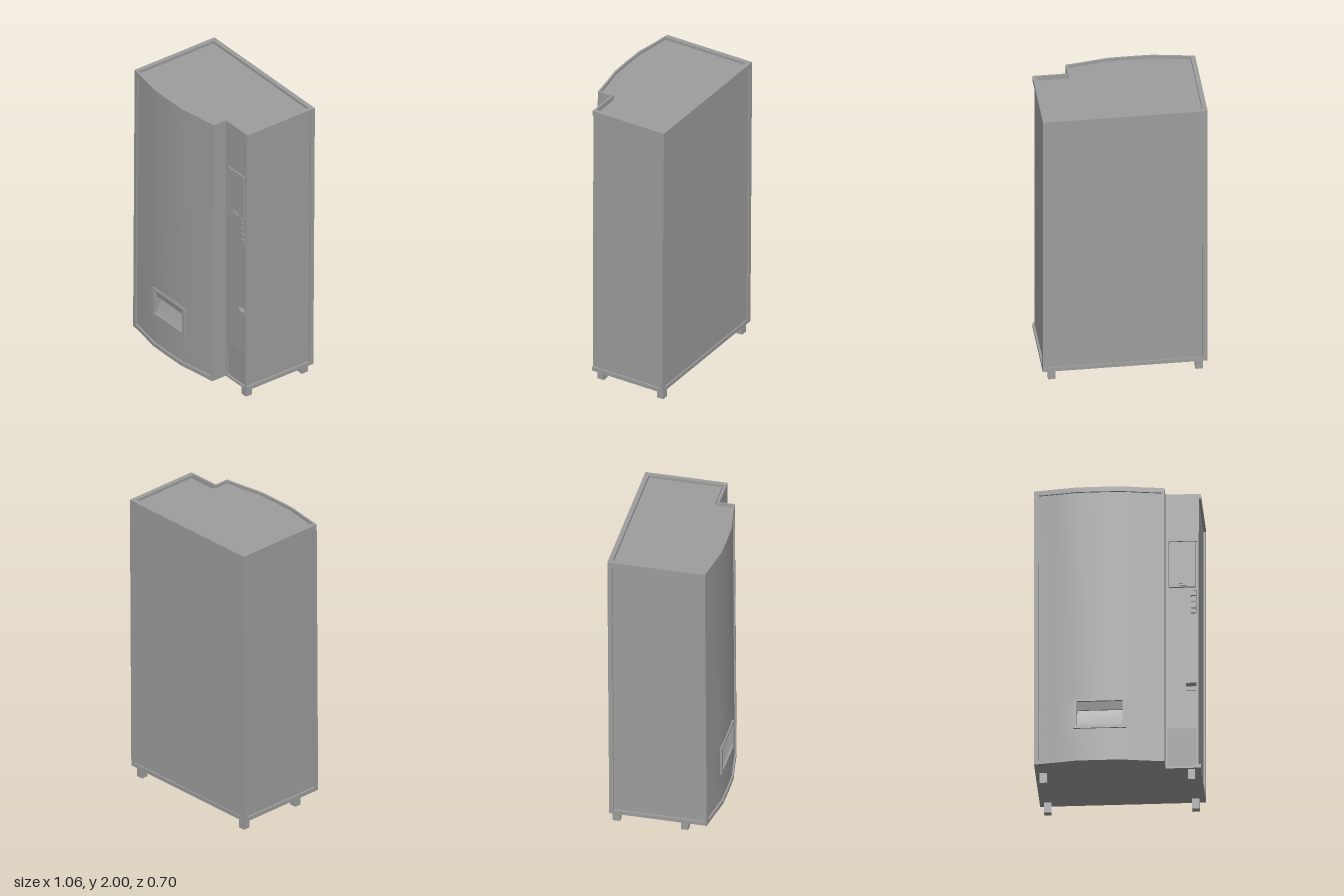
import * as THREE from 'three';
import { toCreasedNormals } from 'three/addons/utils/BufferGeometryUtils.js';

const material = new THREE.MeshStandardMaterial({ color: 0x9d9d9d });

// Bowed front edge of the cabinet, as [x, z] from left to right
const bow = [[-0.53, 0.29], [-0.4, 0.31], [-0.26, 0.334], [-0.115, 0.336], [0.03, 0.334], [0.17, 0.31], [0.304, 0.29]];
const stepX = 0.304; // side of the step
const stepZ = 0.19; // face of the control column
const columnBack = stepZ - 0.03; // depth of the openings in the column

function bowZ(x) {
  for (let i = 1; i < bow.length; i++) {
    const [x0, z0] = bow[i - 1], [x1, z1] = bow[i];
    if (x <= x1) return z0 + (z1 - z0) * (x - x0) / (x1 - x0);
  }
  return bow[bow.length - 1][1];
}

// Floor plan of the cabinet, optionally with a pocket cut into the front
function plan({ left, right, step, back, stepFace, inset, pocket }) {
  const xs = [left, ...bow.map((p) => p[0]).filter((x) => x > left && x < step), step];
  let front = xs.map((x) => [x, bowZ(x) - inset]);
  if (pocket) {
    const [a, b, depth] = pocket;
    front = [
      ...front.filter((p) => p[0] < a),
      [a, bowZ(a) - inset], [a, depth], [b, depth], [b, bowZ(b) - inset],
      ...front.filter((p) => p[0] > b),
    ];
  }
  return [...front, [step, stepFace], [right, stepFace], [right, back], [left, back]];
}

const toPoints = (list) => list.map(([x, z]) => new THREE.Vector2(x, -z));

// Stand a floor plan up between two heights
function prism(outline, y0, y1, hole) {
  const shape = new THREE.Shape(toPoints(outline));
  if (hole) shape.holes.push(new THREE.Path(toPoints(hole)));
  const g = new THREE.ExtrudeGeometry(shape, { depth: y1 - y0, bevelEnabled: false });
  return g.rotateX(-Math.PI / 2).translate(0, y0, 0);
}

// Sweep a [z, y] side profile between two x positions
function sideProfile(profile, x0, x1) {
  const shape = new THREE.Shape(profile.map(([z, y]) => new THREE.Vector2(-z, y)));
  const g = new THREE.ExtrudeGeometry(shape, { depth: x1 - x0, bevelEnabled: false });
  return g.rotateY(Math.PI / 2).translate(x0, 0, 0);
}

function box(x0, x1, y0, y1, z0, z1) {
  return new THREE.BoxGeometry(x1 - x0, y1 - y0, z1 - z0)
    .translate((x0 + x1) / 2, (y0 + y1) / 2, (z0 + z1) / 2);
}

// Upright plate facing +z with rectangular openings [x0, x1, y0, y1]
function plate(outline, openings, z0, z1) {
  const shape = new THREE.Shape(outline.map(([x, y]) => new THREE.Vector2(x, y)));
  for (const [x0, x1, y0, y1] of openings) {
    shape.holes.push(new THREE.Path([[x0, y0], [x1, y0], [x1, y1], [x0, y1]].map(([x, y]) => new THREE.Vector2(x, y))));
  }
  return new THREE.ExtrudeGeometry(shape, { depth: z1 - z0, bevelEnabled: false }).translate(0, 0, z0);
}

export function createModel() {
  const model = new THREE.Group();

  // Front and back lean back slightly from bottom to top, the column hardly at all
  function add(name, geometry, lean = true) {
    if (lean) {
      const p = geometry.attributes.position;
      for (let i = 0; i < p.count; i++) {
        const z = p.getZ(i);
        p.setZ(i, z + (z > 0 && z < 0.21 ? 0.0015 : 0.0065) * (2 - p.getY(i)));
      }
    }
    const mesh = new THREE.Mesh(toCreasedNormals(geometry, 0.4), material);
    mesh.name = name;
    model.add(mesh);
  }

  // Cabinet core, set back behind the frame and pocketed for the delivery bin
  const core = { left: -0.517, right: 0.517, step: stepX, back: -0.342, stepFace: columnBack, inset: 0.012 };
  const solid = plan(core);
  add('lowerCabinet', prism(solid, 0.09, 0.32));
  add('binCabinet', prism(plan({ ...core, pocket: [-0.255, 0.04, 0.25] }), 0.32, 0.49));
  add('upperCabinet', prism(solid, 0.49, 1.98));

  // Base and top rim
  const outer = { left: -0.53, right: 0.53, step: stepX, back: -0.35, stepFace: stepZ, inset: 0 };
  const inner = plan({ left: -0.5, right: 0.5, step: 0.292, back: -0.32, stepFace: 0.177, inset: 0.013 });
  add('base', prism(plan({ ...outer, stepFace: columnBack }), 0.07, 0.097));
  add('topRim', prism(plan(outer), 1.967, 2, inner));

  // Upright posts framing the recessed panels
  for (const s of [-1, 1]) {
    add('backPost', prism([[s * 0.5, -0.35], [s * 0.53, -0.35], [s * 0.53, -0.32], [s * 0.5, -0.32]], 0.097, 1.967));
  }
  for (const [a, b] of [[-0.53, -0.5], [0.285, stepX]]) {
    add('frontPost', prism([[a, 0.262], [b, 0.262], [b, bowZ(b)], [a, bowZ(a)]], 0.097, 1.967));
  }

  // Delivery bin: surround, inward-tilted flap and sloping floor
  add('binSurround', plate([[-0.275, 0.3], [0.06, 0.3], [0.06, 0.505], [-0.275, 0.505]],
    [[-0.255, 0.04, 0.32, 0.49]], 0.3, 0.333));
  add('binFlap', sideProfile([[0.32, 0.49], [0.308, 0.437], [0.298, 0.437], [0.298, 0.49]], -0.255, 0.04));
  add('binFloor', sideProfile([[0.318, 0.32], [0.25, 0.32], [0.25, 0.46], [0.256, 0.46], [0.28, 0.39]], -0.255, 0.04));

  // Control column face with its openings
  const door = [0.325, 0.502, 1.341, 1.67];
  const coinReturn = [0.435, 0.502, 0.616, 0.67];
  const service = [0.317, 0.503, 0.084, 0.35];
  const buttons = [0, 1, 2, 3].map((i) => [0.463, 0.503, 1.159 + i * 0.041, 1.195 + i * 0.041]);
  add('controlColumn', plate(
    [[stepX, 0.07], [0.53, 0.07], [0.53, 0.097], [0.517, 0.097], [0.517, 1.967], [stepX, 1.967]],
    [door, coinReturn, service, ...buttons], columnBack, stepZ));

  // Inserts sit in their openings with a narrow gap all round
  const insert = ([x0, x1, y0, y1], gap, proud) =>
    box(x0 + gap, x1 - gap, y0 + gap, y1 - gap, columnBack - 0.01, stepZ + proud);
  add('paymentDoor', insert(door, 0.006, 0.003));
  for (const b of buttons) add('button', insert(b, 0.003, 0.004));

  // Payment door fittings
  add('noteSlot', plate([[0.388, 1.353], [0.446, 1.353], [0.446, 1.371], [0.388, 1.371]],
    [[0.391, 0.443, 1.356, 1.368]], stepZ, stepZ + 0.008));
  add('doorLock', new THREE.CylinderGeometry(0.004, 0.004, 0.008, 12)
    .rotateX(Math.PI / 2).translate(0.412, 1.46, stepZ + 0.003));

  // Coin return: sloping roof above a small flap
  add('coinReturnRoof', sideProfile([[stepZ, 0.67], [columnBack, 0.67], [columnBack, 0.643]], 0.435, 0.502));
  add('coinReturnFlap', box(0.435, 0.502, 0.616, 0.643, columnBack, stepZ + 0.004));

  // Service panel sinks in towards its lower edge
  add('servicePanel', sideProfile([[stepZ, 0.35], [columnBack, 0.35], [columnBack, 0.084], [stepZ - 0.014, 0.084]], 0.317, 0.503));

  // Feet
  for (const x of [-0.502, 0.446]) {
    for (const z of [-0.321, 0.127]) add('foot', box(x, x + 0.047, 0, 0.075, z, z + 0.048), false);
  }
  return model;
}
